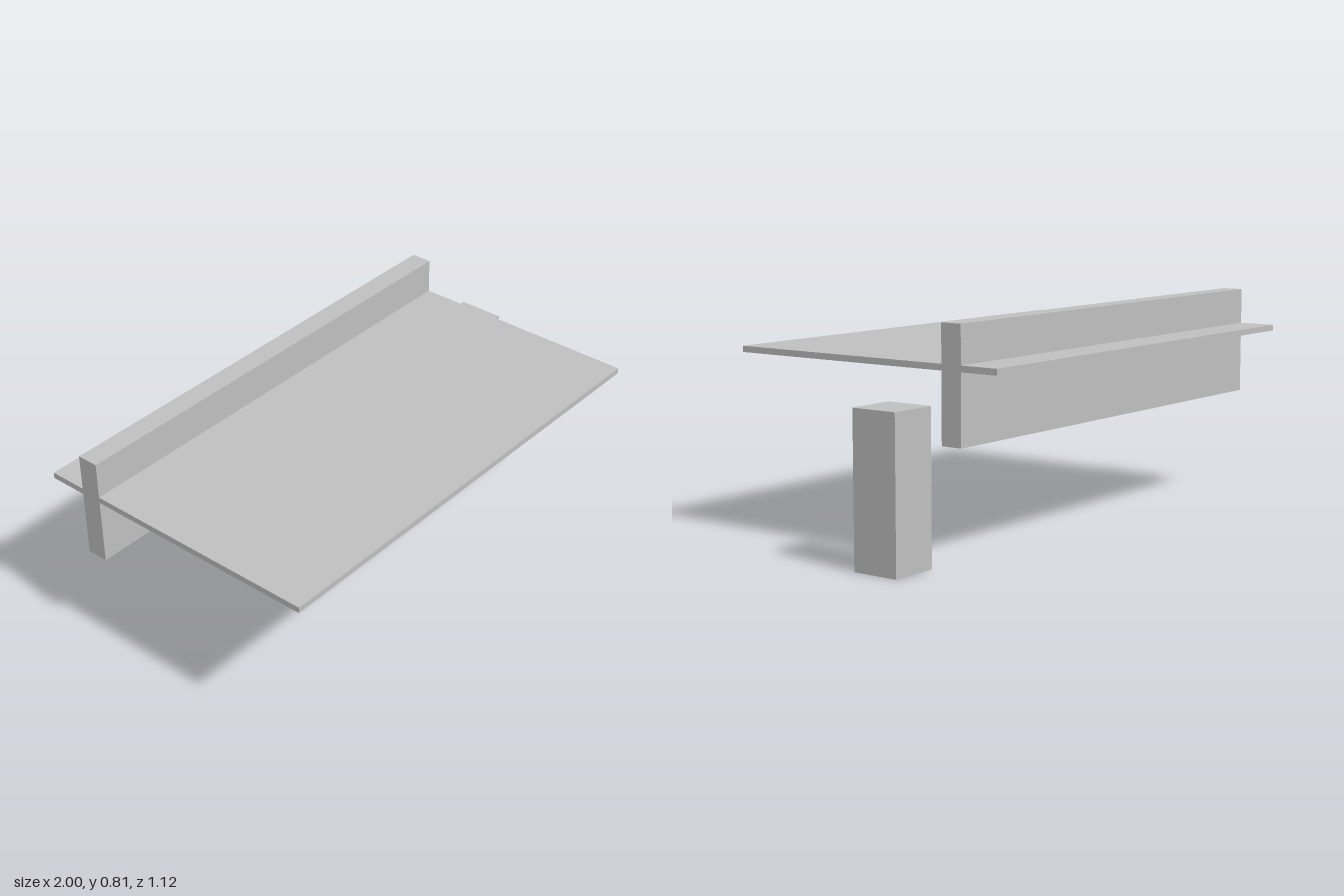
import * as THREE from 'three';

export function createModel() {
  const model = new THREE.Group();
  model.name = 'slabBeamAndColumn';

  const concrete = new THREE.MeshStandardMaterial({ color: 0xc0c0c0 });
  concrete.name = 'concrete grey';

  // Box given by its lower and upper corners
  const block = (name, [x0, y0, z0], [x1, y1, z1]) => {
    const mesh = new THREE.Mesh(new THREE.BoxGeometry(x1 - x0, y1 - y0, z1 - z0), concrete);
    mesh.name = name;
    mesh.position.set((x0 + x1) / 2, (y0 + y1) / 2, (z0 + z1) / 2);
    model.add(mesh);
  };

  // Thin floor plate
  block('slab', [-1, 0.654, -0.56], [0.794, 0.676, 0.56]);
  // Upright beam passing through the plate near its back edge
  block('beam', [-1, 0.407, -0.416], [0.794, 0.81, -0.336]);
  // Freestanding column beside the plate
  block('column', [0.82, 0, -0.313], [1, 0.54, -0.135]);

  return model;
}
